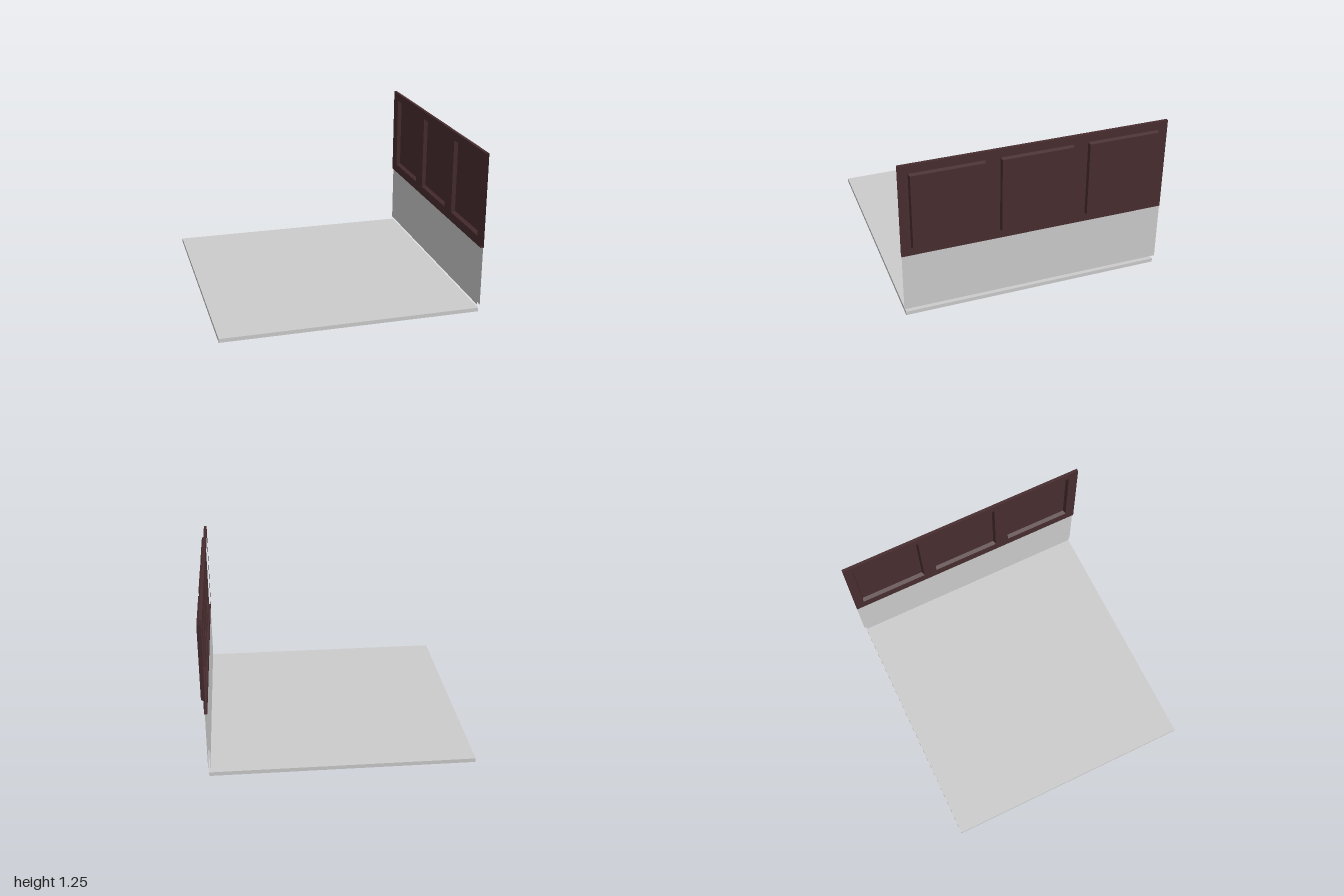
import * as THREE from 'three';

const BOTTOM = 0.52, TOP = 1.245;            // panelled band
const PANEL = { w: 0.55, h: 0.6, y: 0.88 };  // raised panels
const CENTRES = [-0.655, 0, 0.655];

export function createModel() {
  const plaster = new THREE.MeshStandardMaterial({ color: 0xcccccc, side: THREE.DoubleSide });
  plaster.name = 'pale grey';
  const wood = new THREE.MeshStandardMaterial({ color: 0x482d2f, side: THREE.DoubleSide });
  wood.name = 'dark brown wood';

  const model = new THREE.Group();
  model.name = 'roomCorner';
  const add = (name, geometry, material, x = 0, y = 0, z = 0, turn = 0) => {
    const mesh = new THREE.Mesh(geometry, material);
    mesh.name = name;
    mesh.position.set(x, y, z);
    mesh.rotation.y = turn;
    model.add(mesh);
    return mesh;
  };

  // Floor slab
  add('floor', new THREE.BoxGeometry(1.97, 0.03, 1.975), plaster, -0.015, 0.015, 0);

  // Lower wall: two thin sheets, the inner one slightly narrower
  add('wallOuter', new THREE.PlaneGeometry(2, BOTTOM - 0.06), plaster, 0.975, (BOTTOM + 0.06) / 2, 0, Math.PI / 2);
  add('wallInner', new THREE.PlaneGeometry(1.965, BOTTOM - 0.055), plaster, 0.96, (BOTTOM + 0.055) / 2, 0, -Math.PI / 2);

  // Panelled band: outer and inner sheets with an opening for each panel
  const band = new THREE.Shape([[-1, BOTTOM], [1, BOTTOM], [1, TOP], [-1, TOP]].map(p => new THREE.Vector2(...p)));
  for (const c of CENTRES) {
    const [w, h] = [PANEL.w / 2, PANEL.h / 2];
    band.holes.push(new THREE.Path([[c - w, PANEL.y - h], [c - w, PANEL.y + h], [c + w, PANEL.y + h], [c + w, PANEL.y - h]]
      .map(p => new THREE.Vector2(...p))));
  }
  const sheet = new THREE.ShapeGeometry(band);
  add('bandOuter', sheet, wood, 0.98, 0, 0, Math.PI / 2);
  add('bandInner', sheet, wood, 0.957, 0, 0, -Math.PI / 2);

  // Strips closing the top and bottom of the band
  for (const [name, y, tilt] of [['bandTop', TOP, -1], ['bandBottom', BOTTOM, 1]]) {
    const strip = new THREE.PlaneGeometry(0.023, 2).rotateX(tilt * Math.PI / 2);
    add(name, strip, wood, 0.9685, y, 0);
  }

  // Raised panels: shallow bevelled trays, open at the back
  const box = new THREE.BoxGeometry(0.03, PANEL.h, PANEL.w);
  const pos = box.attributes.position;
  for (let i = 0; i < pos.count; i++) {
    if (pos.getX(i) > 0) {
      pos.setY(i, pos.getY(i) - Math.sign(pos.getY(i)) * 0.012);
      pos.setZ(i, pos.getZ(i) - Math.sign(pos.getZ(i)) * 0.01);
    }
  }
  box.setIndex(Array.from(box.index.array).filter((_, i) => i < 6 || i >= 12));
  box.clearGroups();
  const tray = box.toNonIndexed();
  tray.computeVertexNormals();
  for (const z of CENTRES) add('raisedPanel', tray, wood, 0.985, PANEL.y, z);

  return model;
}
